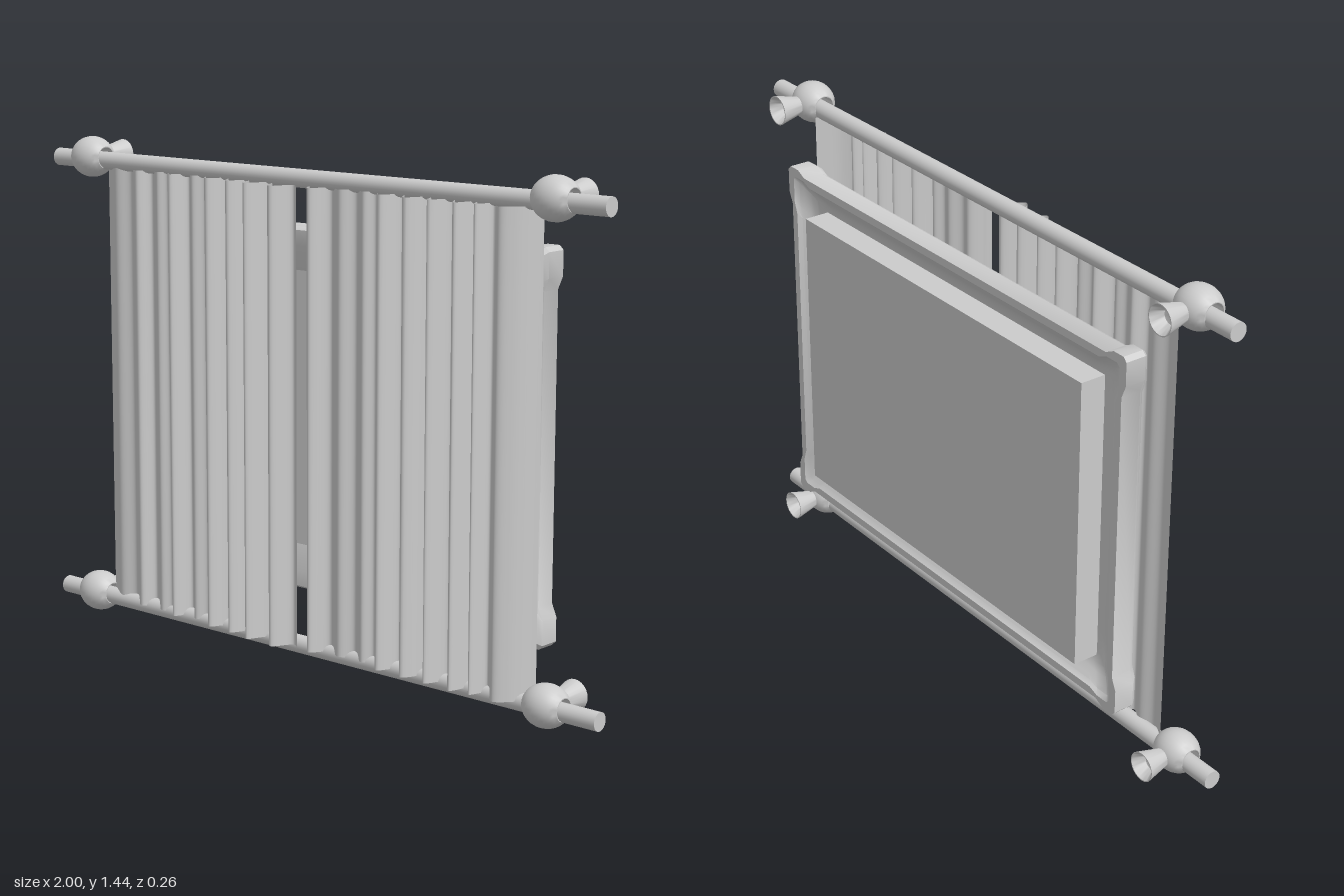
import * as THREE from 'three';
import { toCreasedNormals } from 'three/addons/utils/BufferGeometryUtils.js';

const grey = new THREE.MeshStandardMaterial({ color: 0xcccccc });
const greyThin = new THREE.MeshStandardMaterial({ color: 0xcccccc, side: THREE.DoubleSide });

function add(parent, name, geometry, material = grey) {
  const mesh = new THREE.Mesh(geometry, material);
  mesh.name = name;
  parent.add(mesh);
  return mesh;
}

// Surface through rows of equally many points; optionally closed both ways
function loft(rows, closed) {
  const n = rows[0].length, m = rows.length, index = [];
  const at = (j, i) => (j % m) * n + (i % n);
  for (let j = 0; j < (closed ? m : m - 1); j++)
    for (let i = 0; i < (closed ? n : n - 1); i++)
      index.push(at(j, i), at(j, i + 1), at(j + 1, i + 1), at(j, i), at(j + 1, i + 1), at(j + 1, i));
  const g = new THREE.BufferGeometry();
  g.setAttribute('position', new THREE.Float32BufferAttribute(rows.flat(2), 3));
  g.setIndex(index);
  g.computeVertexNormals();
  return g;
}

// Pleated sheet: a smooth line through the fold points, run straight up
function curtain(folds) {
  const points = folds.map(([x, z]) => new THREE.Vector3(x, 0, z));
  const line = new THREE.CatmullRomCurve3(points, false, 'centripetal').getPoints(folds.length * 8);
  return loft([0.058, 1.357].map(y => line.map(p => [p.x, y, p.z])), false);
}

// Rectangle outline with eared corners, shrunk by d
function earedOutline(d, z) {
  const W = 0.757, H = 0.534, cy = 0.71;
  const fade = Math.max(0, 1 - d / 0.12);
  const ear = 0.015 * fade, clip = 0.012 * fade;
  const corner = [[ear, 0.115], [0, 0.08], [0, clip], [clip, 0], [0.05, 0], [0.08, ear]];
  const out = [];
  for (const [sx, sy] of [[1, 1], [-1, 1], [-1, -1], [1, -1]]) {
    const pts = sx * sy > 0 ? corner : [...corner].reverse();
    for (const [a, b] of pts) out.push([sx * (W - d - a), cy + sy * (H - d - b), z]);
  }
  return out;
}

// Fold points (x, z) of the two curtains
const rightFolds = [
  [-0.8, 0.03], [-0.74, 0.06], [-0.69, 0.045], [-0.64, 0.075], [-0.61, 0.04], [-0.56, 0.07], [-0.53, 0.055],
  [-0.49, 0.09], [-0.46, 0.04], [-0.42, 0.07], [-0.385, 0.05], [-0.335, 0.1], [-0.3, 0.045], [-0.25, 0.105],
  [-0.215, 0.05], [-0.17, 0.12], [-0.13, 0.05], [-0.07, 0.127], [-0.03, 0.07], [0.008, 0.1],
];
const leftFolds = [
  [0.014, 0.05], [0.05, 0.1], [0.09, 0.05], [0.14, 0.075], [0.18, 0.05], [0.22, 0.07], [0.25, 0.05],
  [0.3, 0.1], [0.335, 0.04], [0.39, 0.105], [0.43, 0.04], [0.47, 0.105], [0.505, 0.04], [0.56, 0.11],
  [0.585, 0.045], [0.62, 0.1], [0.645, 0.05], [0.7, 0.105], [0.735, 0.08], [0.775, 0.012],
];

// Frame moulding section: (inset from the outline, z)
const moulding = [
  [0, -0.097], [0, -0.036], [0.01, -0.022], [0.06, -0.022], [0.14, -0.045],
  [0.14, -0.052], [0.115, -0.053], [0.09, -0.058], [0.068, -0.067], [0.05, -0.08], [0.038, -0.086], [0.026, -0.097],
];

export function createModel() {
  const model = new THREE.Group();

  // Rods with ring balls and flared wall mounts, top and bottom
  for (const [label, rodY, ringY] of [['upper', 1.373, 1.382], ['lower', 0.053, 0.061]]) {
    const rod = add(model, label + 'Rod', new THREE.CylinderGeometry(0.026, 0.026, 2, 24));
    rod.rotation.z = Math.PI / 2;
    rod.position.set(0, rodY, 0.04);

    for (const x of [-0.853, 0.833]) {
      const bracket = new THREE.Group();
      bracket.name = label + 'Bracket';
      bracket.position.set(x, ringY, 0.044);
      model.add(bracket);

      // Ball bored through along the rod
      const profile = [];
      for (let i = 0; i <= 12; i++) {
        const a = -1 + i / 6;
        profile.push(new THREE.Vector2(0.06 * Math.cos(a), 0.068 * Math.sin(a)));
      }
      profile.push(new THREE.Vector2(0.03, 0.057), new THREE.Vector2(0.03, -0.057), profile[0].clone());
      const ball = add(bracket, 'ringBall', toCreasedNormals(new THREE.LatheGeometry(profile, 28), 0.6));
      ball.rotation.z = Math.PI / 2;

      // Hollow straight-sided cup pointing to the wall
      const cup = [[0, 0.045], [0.024, 0.045], [0.043, 0.124], [0.04, 0.124], [0.022, 0.09], [0, 0.085]]
        .map(([r, y]) => new THREE.Vector2(r, y));
      const mount = add(bracket, 'wallMount', toCreasedNormals(new THREE.LatheGeometry(cup, 24), 0.6), greyThin);
      mount.rotation.x = -Math.PI / 2;
    }
  }

  // Two pleated panels meeting near the middle
  add(model, 'rightCurtain', curtain(rightFolds), greyThin);
  add(model, 'leftCurtain', curtain(leftFolds), greyThin);

  // Moulding swept round the eared outline
  add(model, 'frame', toCreasedNormals(loft(moulding.map(([d, z]) => earedOutline(d, z)), true), 0.5));

  // Raised panel inside the frame
  const panel = add(model, 'panel', new THREE.BoxGeometry(1.25, 0.846, 0.084));
  panel.position.set(0, 0.707, -0.087);

  return model;
}
